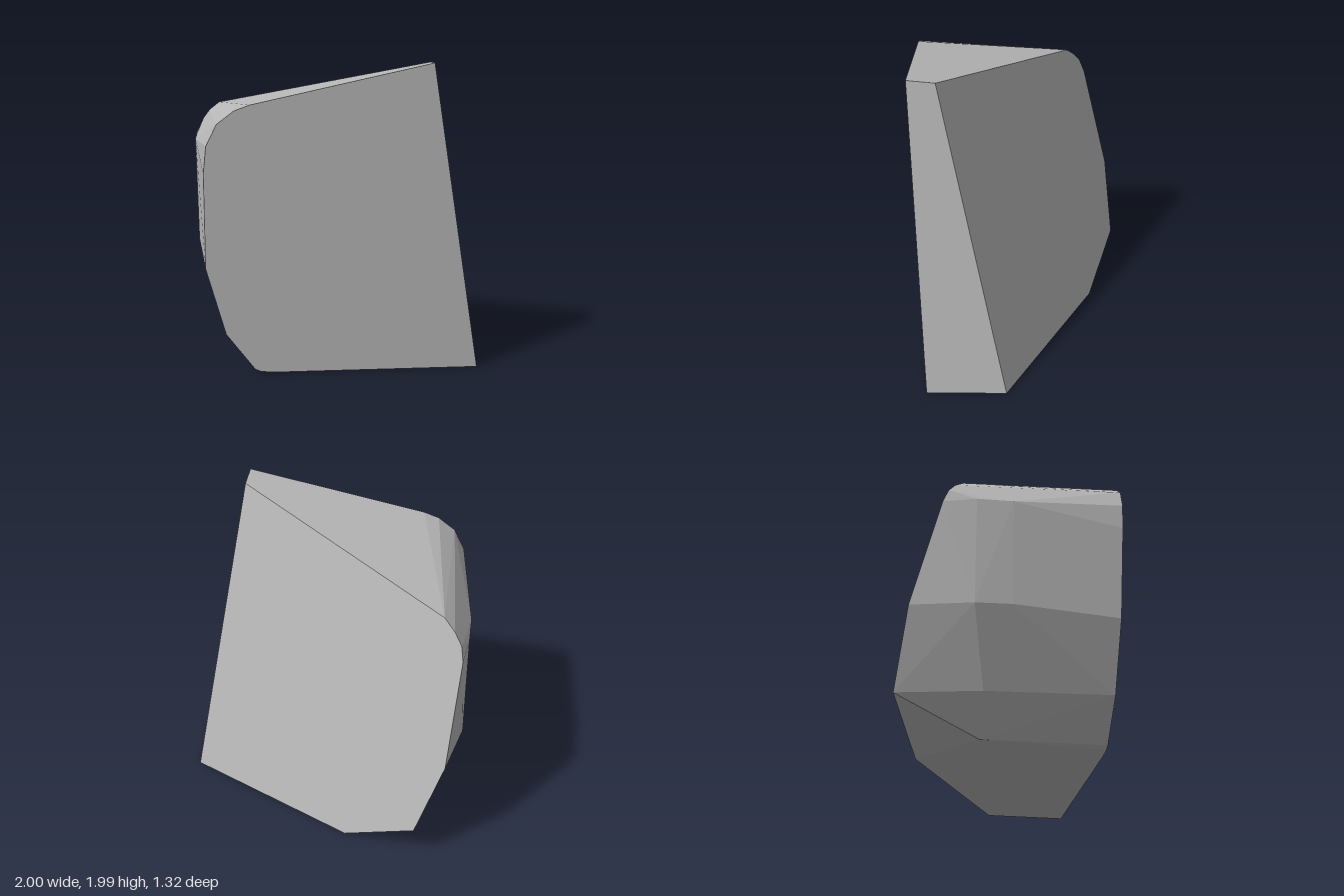
import * as THREE from 'three';
import { ConvexGeometry } from 'three/addons/geometries/ConvexGeometry.js';

// The two large flat faces are planes: z follows from x and y
const onFront = ([x, y]) => new THREE.Vector3(x, y, -0.3717 * (x - 1) + 0.0482 * y);
const onBack = ([x, y]) => new THREE.Vector3(x, y, -0.47 + 0.153 * (x - 0.83) + 0.271 * y);

export function createModel() {
  const stone = new THREE.MeshStandardMaterial({ color: 0xb8b8b8 });
  stone.name = 'stone grey';

  // Outline of the front face
  const front = [
    [1, 0], [0.72, 1.99], [-0.33, 1.75], [-0.42, 1.715], [-0.52, 1.635], [-0.585, 1.5],
    [-0.605, 1.33], [-0.615, 0.72], [-0.51, 0.28], [-0.345, 0.035], [-0.31, 0.018], [-0.23, 0.01],
  ].map(onFront);

  // Outline of the back face
  const back = [
    [0.83, 0], [0.665, 1.975], [-0.84, 1.615], [-0.92, 1.555], [-0.975, 1.49],
    [-1, 1.4], [-1, 0.73], [-0.86, 0.25], [-0.38, 0.01],
  ].map(onBack);

  // Corners of the bulging side between the two faces
  const side = [
    [-0.96, 1.42, -0.17], [-0.89, 1.42, 0.04], [-0.96, 0.73, -0.17], [-0.88, 0.74, 0.04],
    [-0.79, 0.25, -0.15], [-0.65, 0.01, -0.2],
  ].map((p) => new THREE.Vector3(...p));

  // Faceted block
  const block = new THREE.Mesh(new ConvexGeometry([...front, ...back, ...side]), stone);
  block.name = 'facetedBlock';

  const group = new THREE.Group();
  group.name = 'stoneBlock';
  group.add(block);
  return group;
}
